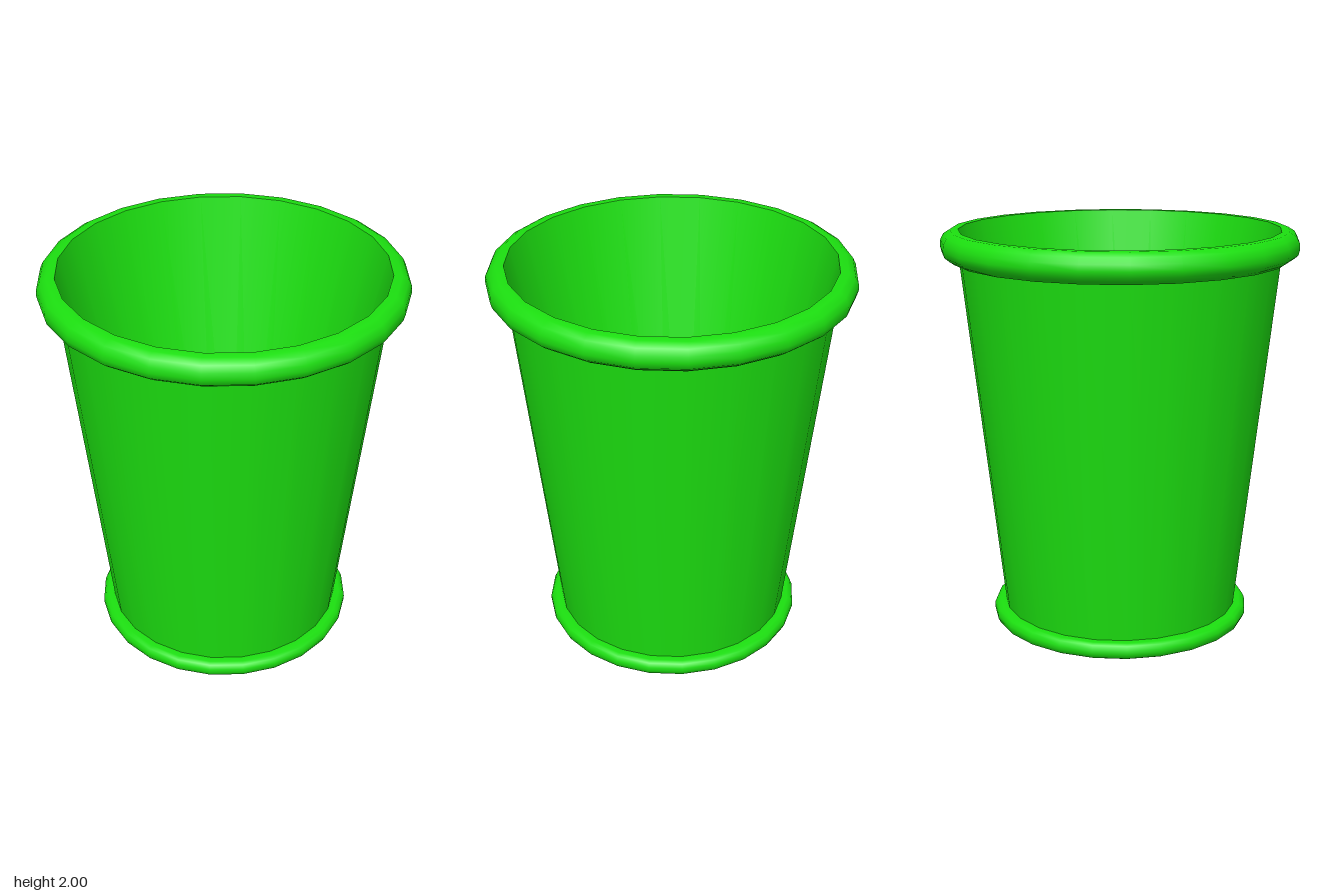
import * as THREE from 'three';

const SIDES = 24;
const material = new THREE.MeshStandardMaterial({ color: 0x1ce010 });

// Revolve a [radius, height] profile; going up the outside makes faces look outward
function revolve(name, profile) {
  const points = profile.map(([r, y]) => new THREE.Vector2(r, y));
  const mesh = new THREE.Mesh(new THREE.LatheGeometry(points, SIDES), material);
  mesh.name = name;
  return mesh;
}

export function createModel() {
  const cup = new THREE.Group();
  cup.name = 'cup';

  // Flat underside and rounded foot ring
  cup.add(revolve('underside', [[0, 0], [0.63, 0]]));
  cup.add(revolve('footRing', [
    [0.63, 0], [0.645, 0.008], [0.655, 0.03], [0.655, 0.05], [0.645, 0.072], [0.625, 0.08], [0.595, 0.08],
  ]));

  // Tapered outer wall
  cup.add(revolve('outerWall', [[0.595, 0.08], [0.79, 1.85]]));

  // Rolled rim: underside, then the rounded lip over to the mouth
  cup.add(revolve('rimUnderside', [[0.79, 1.85], [0.825, 1.855], [0.85, 1.872]]));
  cup.add(revolve('rimLip', [
    [0.85, 1.872], [0.872, 1.89], [0.88, 1.92], [0.877, 1.95], [0.862, 1.98], [0.83, 2], [0.79, 2],
  ]));

  // Hollow inside, narrowing to a flat floor
  cup.add(revolve('innerWall', [[0.79, 2], [0.38, 0.08]]));
  cup.add(revolve('floor', [[0.38, 0.08], [0, 0.08]]));

  return cup;
}
